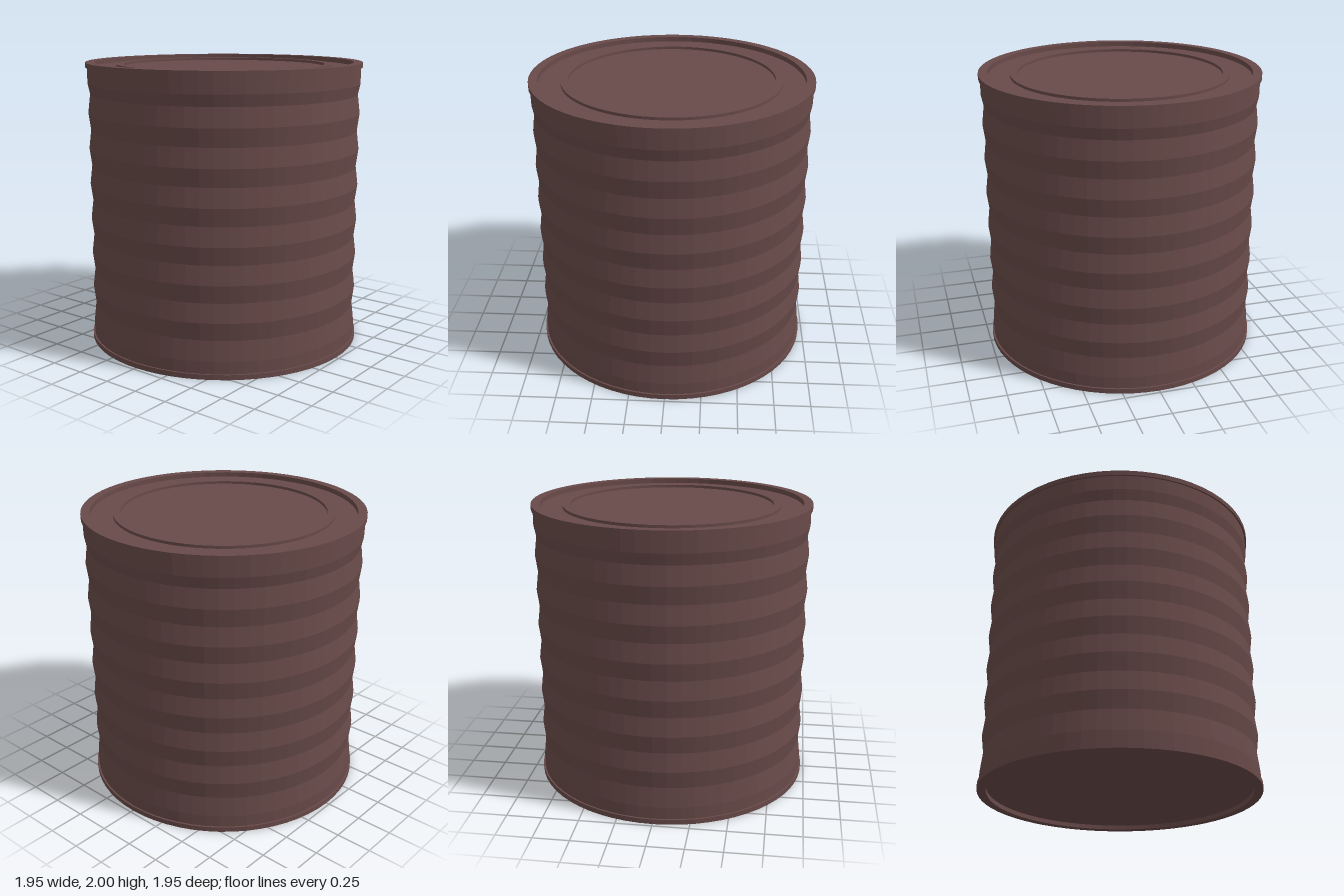
import * as THREE from 'three';

const SEGMENTS = 64;

export function createModel() {
  const can = new THREE.Group();
  can.name = 'tinCan';
  const tin = new THREE.MeshStandardMaterial({ color: 0x684a49, flatShading: true });
  tin.name = 'brown tin';

  // Revolves a profile of [radius, height] pairs, listed from the bottom centre outward, up and back in
  const turn = (name, profile) => {
    const points = profile.map(([r, y]) => new THREE.Vector2(r, y));
    const mesh = new THREE.Mesh(new THREE.LatheGeometry(points, SEGMENTS), tin);
    mesh.name = name;
    can.add(mesh);
  };

  // Corrugated wall: straight ends with seven shallow grooves between them
  const wall = [[0.965, 0.035], [0.965, 0.12]];
  for (let i = 0; i < 7; i++) {
    const y = 0.26 + i * 0.253;
    wall.push([0.949, y]);
    wall.push([0.965, i < 6 ? y + 0.122 : 1.855]);
  }
  wall.push([0.965, 1.965]);
  turn('corrugatedWall', wall);

  // Rolled rims with square edges
  const rim = (name, y) => turn(name, [
    [0.915, y], [0.977, y], [0.977, y + 0.035], [0.915, y + 0.035], [0.915, y],
  ]);
  rim('bottomRim', 0);
  rim('topRim', 1.965);

  // Recessed lid with a raised ring
  turn('lid', [
    [0.915, 1.966], [0.76, 1.966], [0.76, 1.985], [0.71, 1.985], [0.71, 1.966], [0, 1.966],
  ]);

  // Plain recessed base
  turn('base', [[0, 0.03], [0.915, 0.03]]);

  return can;
}
